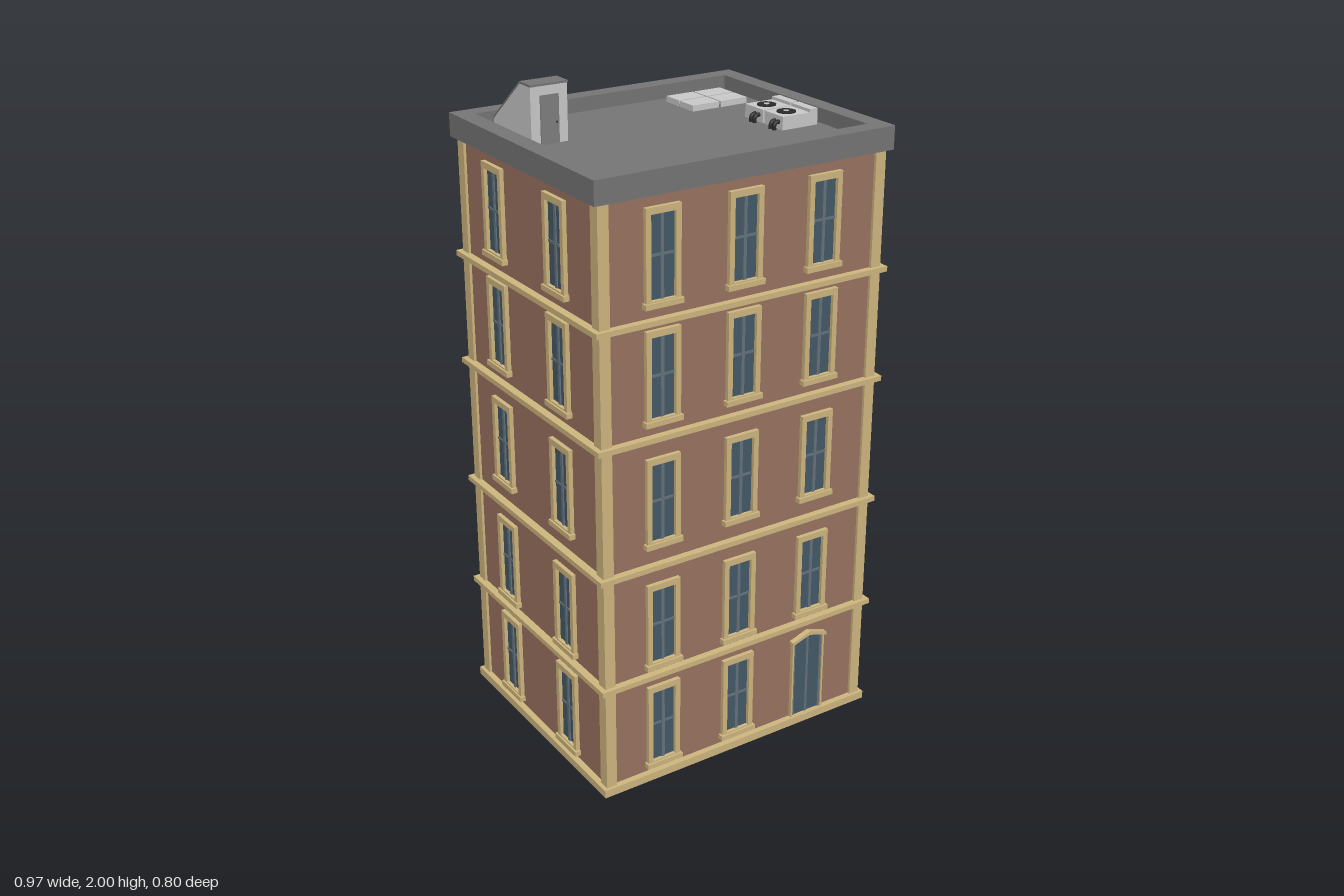
import * as THREE from 'three';

const mat = (color) => new THREE.MeshStandardMaterial({ color });
const M = {
  brick: mat(0x9b7460), stone: mat(0xd0b880), glass: mat(0x465a6a), bar: mat(0x65737c),
  roof: mat(0x777777), grey: mat(0xcccccc), door: mat(0x808080), dark: mat(0x2b2b2b),
};

function add(parent, name, geometry, material, x = 0, y = 0, z = 0) {
  const mesh = new THREE.Mesh(geometry, material);
  mesh.name = name;
  mesh.position.set(x, y, z);
  parent.add(mesh);
  return mesh;
}

// Box given by its lower and upper corners
function block(parent, name, material, [x0, y0, z0], [x1, y1, z1]) {
  return add(parent, name, new THREE.BoxGeometry(x1 - x0, y1 - y0, z1 - z0), material,
    (x0 + x1) / 2, (y0 + y1) / 2, (z0 + z1) / 2);
}

function polygon(points) {
  return new THREE.Shape(points.map(([x, y]) => new THREE.Vector2(x, y)));
}

const extrude = (shape, depth) => new THREE.ExtrudeGeometry(shape, { depth, bevelEnabled: false });

// Rectangular outline with a rectangular hole, both given as half sizes
function ring(w, h, iw, ih) {
  const shape = polygon([[-w, -h], [w, -h], [w, h], [-w, h]]);
  shape.holes.push(polygon([[-iw, -ih], [-iw, ih], [iw, ih], [iw, -ih]]));
  return shape;
}

// Window seen from the front, its origin at the middle of the wall opening
function makeWindow() {
  const g = new THREE.Group();
  g.name = 'window';
  add(g, 'windowFrame', extrude(ring(0.055, 0.138, 0.039, 0.119), 0.013), M.stone);
  block(g, 'windowSill', M.stone, [-0.061, -0.139, 0], [0.061, -0.123, 0.019]);
  block(g, 'windowGlass', M.glass, [-0.04, -0.12, -0.005], [0.04, 0.12, 0.002]);
  block(g, 'verticalBar', M.bar, [-0.005, -0.12, 0], [0.005, 0.12, 0.006]);
  block(g, 'horizontalBar', M.bar, [-0.04, 0.001, 0], [0.04, 0.008, 0.005]);
  return g;
}

// Glazed double door under a shallow gable
function makeDoor() {
  const g = new THREE.Group();
  g.name = 'frontDoor';
  const frame = polygon([[-0.06, 0.02], [0.06, 0.02], [0.06, 0.296], [0, 0.318], [-0.06, 0.296]]);
  frame.holes.push(polygon([[-0.054, 0.026], [-0.054, 0.288], [0, 0.306], [0.054, 0.288], [0.054, 0.026]]));
  add(g, 'doorFrame', extrude(frame, 0.012), M.stone);
  const leaf = polygon([[-0.055, 0.025], [0.055, 0.025], [0.055, 0.289], [0, 0.307], [-0.055, 0.289]]);
  add(g, 'doorLeaves', extrude(leaf, 0.004), M.glass);
  for (const x of [-0.05, 0, 0.05]) {
    block(g, 'doorStile', M.bar, [x - 0.004, 0.026, 0], [x + 0.004, x ? 0.288 : 0.304, 0.007]);
  }
  const cap = polygon([[-0.064, 0.288], [0, 0.308], [0.064, 0.288], [0.064, 0.298], [0, 0.32], [-0.064, 0.298]]);
  add(g, 'doorGable', extrude(cap, 0.018), M.stone);
  return g;
}

// Sloped roof exit with a door
function makeRoofExit(floor) {
  const g = new THREE.Group();
  g.name = 'roofExit';
  const profile = (lift) => polygon([
    [0.09, floor], [0.308, floor], [0.308, 1.866 + lift], [0.148, 1.996 + lift], [0.09, 1.996 + lift]]);
  const body = add(g, 'exitWalls', extrude(profile(0), 0.115), M.grey, -0.389);
  body.rotation.y = Math.PI / 2;
  body.position.x = -0.389;
  const lid = polygon([[0.088, 1.994], [0.148, 1.994], [0.309, 1.863], [0.309, 1.868], [0.149, 2], [0.088, 2]]);
  const cover = add(g, 'exitRoof', extrude(lid, 0.118), M.roof, -0.39);
  cover.rotation.y = Math.PI / 2;
  block(g, 'exitDoor', M.door, [-0.36, floor, -0.095], [-0.302, 1.968, -0.087]);
  add(g, 'doorKnob', new THREE.SphereGeometry(0.003, 8, 6), M.dark, -0.31, 1.89, -0.086);
  return g;
}

// Cooling unit with a fan on top and two pipes bending down to the roof
function makeCooler(floor) {
  const g = new THREE.Group();
  g.name = 'coolingUnit';
  block(g, 'coolerBody', M.grey, [0.287, floor, -0.0435], [0.383, 1.869, 0.0435]);
  block(g, 'coolerBack', M.grey, [0.382, floor, -0.0435], [0.41, 1.878, 0.0435]);
  add(g, 'fan', new THREE.CylinderGeometry(0.028, 0.028, 0.004, 32), M.dark, 0.331, 1.87, 0);
  add(g, 'fanHub', new THREE.CylinderGeometry(0.008, 0.008, 0.005, 16), M.grey, 0.331, 1.871, 0);
  for (const z of [0.009, 0.026]) {
    const path = new THREE.CatmullRomCurve3([
      new THREE.Vector3(0.29, 1.852, z), new THREE.Vector3(0.277, 1.851, z),
      new THREE.Vector3(0.271, 1.844, z), new THREE.Vector3(0.271, floor, z)]);
    add(g, 'pipe', new THREE.TubeGeometry(path, 12, 0.006, 10), M.dark);
  }
  return g;
}

export function createModel() {
  const model = new THREE.Group();
  model.name = 'apartmentBuilding';
  const wx = 0.46, wz = 0.378, floor = 1.83;

  // Walls, corner strips, base and storey bands
  block(model, 'brickWalls', M.brick, [-wx, 0.01, -wz], [wx, 1.81, wz]);
  for (const sx of [-1, 1]) {
    for (const sz of [-1, 1]) {
      add(model, 'cornerStrip', new THREE.BoxGeometry(0.034, 1.8, 0.036), M.stone, sx * 0.451, 0.908, sz * 0.369);
    }
  }
  block(model, 'base', M.stone, [-0.48, 0, -0.397], [0.48, 0.025, 0.397]);
  for (const y of [0.358, 0.717, 1.114, 1.454]) {
    block(model, 'storeyBand', M.stone, [-0.484, y - 0.008, -0.4], [0.484, y + 0.008, 0.4]);
  }

  // Windows on all four sides; opposite sides match when turned half round
  const pane = makeWindow();
  const rows = [0.18, 0.52, 0.915, 1.291, 1.632];
  for (const turn of [0, Math.PI]) {
    const half = new THREE.Group();
    half.name = turn ? 'backAndRightOpenings' : 'frontAndLeftOpenings';
    half.rotation.y = turn;
    rows.forEach((y, storey) => {
      for (const x of [-0.27, -0.005, 0.26]) {
        if (!turn && storey === 0 && x > 0.2) continue;
        const w = pane.clone();
        w.position.set(x, y, wz);
        half.add(w);
      }
      for (const z of [0.182, -0.162]) {
        const w = pane.clone();
        w.position.set(wx, y, z);
        w.rotation.y = Math.PI / 2;
        half.add(w);
      }
    });
    model.add(half);
  }
  const door = makeDoor();
  door.position.set(0.259, 0, wz);
  model.add(door);

  // Parapet and roof deck
  const parapet = add(model, 'parapet', extrude(ring(0.484, 0.4, 0.429, 0.345), 0.069), M.roof, 0, 1.804, 0);
  parapet.rotation.x = -Math.PI / 2;
  block(model, 'roofDeck', M.roof, [-0.435, 1.806, -0.35], [0.435, floor, 0.35]);

  // Roof equipment
  model.add(makeRoofExit(floor));
  block(model, 'skylightBase', M.roof, [0.194, floor, -0.306], [0.384, floor + 0.008, -0.168]);
  for (const x of [0.239, 0.339]) {
    for (const z of [-0.275, -0.2]) {
      add(model, 'skylight', new THREE.BoxGeometry(0.094, 0.018, 0.067), M.grey, x, floor + 0.009, z);
    }
  }
  for (const z of [0.0085, 0.1035]) {
    const cooler = makeCooler(floor);
    cooler.position.z = z;
    model.add(cooler);
  }
  return model;
}
